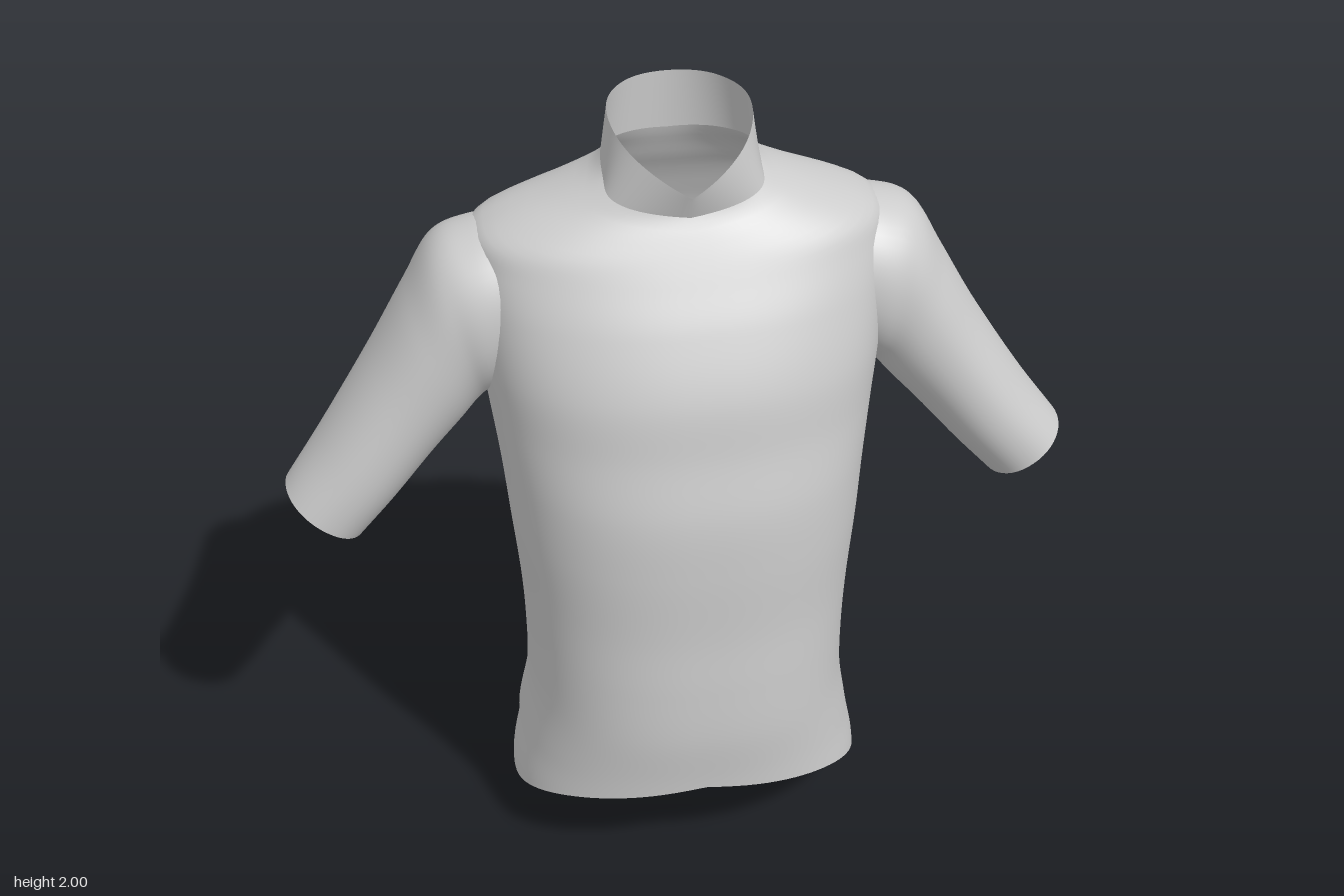
import * as THREE from 'three';

const material = new THREE.MeshStandardMaterial({ color: 0xcccccc, side: THREE.DoubleSide });

// Smooth lookup: rows of [key, value, value...], returns the interpolated values
function lookup(rows, key) {
  const last = rows.length - 1;
  const k = THREE.MathUtils.clamp(key, rows[0][0], rows[last][0]);
  let i = 0;
  while (i < last - 1 && k > rows[i + 1][0]) i++;
  const a = rows[i], b = rows[i + 1], h = b[0] - a[0], t = (k - a[0]) / h;
  const slope = (p, q, c) => (q[c] - p[c]) / (q[0] - p[0]);
  return a.slice(1).map((_, n) => {
    const c = n + 1;
    const m0 = slope(rows[Math.max(i - 1, 0)], b, c) * h;
    const m1 = slope(a, rows[Math.min(i + 2, last)], c) * h;
    const t2 = t * t, t3 = t2 * t;
    return (2 * t3 - 3 * t2 + 1) * a[c] + (t3 - 2 * t2 + t) * m0
      + (3 * t2 - 2 * t3) * b[c] + (t3 - t2) * m1;
  });
}

// Surface from a rule fn(u, v) -> [x, y, z]; closed joins the last column to the first
function surface(name, nu, nv, closed, fn) {
  const positions = [], index = [], cols = closed ? nu : nu + 1;
  for (let j = 0; j <= nv; j++)
    for (let i = 0; i < cols; i++) positions.push(...fn(i / nu, j / nv));
  for (let j = 0; j < nv; j++)
    for (let i = 0; i < nu; i++) {
      const a = j * cols + i, b = j * cols + (i + 1) % cols;
      index.push(a, a + cols, b, b, a + cols, b + cols);
    }
  const geometry = new THREE.BufferGeometry();
  geometry.setAttribute('position', new THREE.Float32BufferAttribute(positions, 3));
  geometry.setIndex(index);
  geometry.computeVertexNormals();
  const mesh = new THREE.Mesh(geometry, material);
  mesh.name = name;
  return mesh;
}

// Torso sections: height, half width, front z, back z, side z
const BODY = [
  [0, .44, .345, -.27, 0], [.15, .45, .35, -.295, 0], [.3, .425, .36, -.285, 0],
  [.45, .403, .375, -.285, 0], [.6, .402, .375, -.28, 0], [.75, .41, .37, -.25, 0],
  [.95, .43, .372, -.295, -.01], [1.1, .445, .365, -.33, -.03], [1.25, .465, .335, -.352, -.05],
  [1.4, .485, .31, -.37, -.07], [1.55, .495, .25, -.362, -.08], [1.65, .495, .195, -.325, -.09],
  [1.71, .48, .16, -.295, -.09], [1.75, .41, .135, -.27, -.085], [1.79, .31, .11, -.25, -.075],
  [1.84, .21, .105, -.225, -.06], [1.88, .175, .11, -.215, -.05],
];
// Edge heights, from back (-1) over the side (0) to the front (1)
const HEM = [[-1, 0], [-.5, .03], [0, .125], [.5, .225], [1, .29]];
const NECK = [[-1, 1.85], [-.5, 1.86], [0, 1.87], [.5, 1.82], [1, 1.785]];
const COLLAR = [[-1, 2], [-.5, 2], [0, 1.985], [.5, 1.925], [1, 1.845]];

const facing = (theta) => Math.asin(THREE.MathUtils.clamp(Math.sin(theta), -1, 1)) / (Math.PI / 2);
const edge = (rows, theta) => lookup(rows, facing(theta))[0];
const squash = (s, e) => Math.sign(s) * Math.abs(s) ** e;

function bodyPoint(theta, y) {
  const [w, front, back, side] = lookup(BODY, y);
  const e = y > 1.7 ? THREE.MathUtils.lerp(.86, 1, Math.min((y - 1.7) / .15, 1)) : .86;
  const c = squash(Math.cos(theta), e), s = squash(Math.sin(theta), e);
  const x = w * c;
  let z = side + (s > 0 ? front - side : side - back) * s;
  // soft upright folds above the pocket
  if (s < 0) z += .007 * s * s * Math.sin(x * 42) * Math.exp(-(((y - .9) / .13) ** 2));
  return [x, y, z];
}

// Sleeve sections: step, outer x, outer y, inner x, inner y, back z, front z
const SLEEVE = [
  [0, .36, 1.73, .36, 1.37, -.24, .09], [1, .49, 1.712, .45, 1.3, -.27, .1],
  [2, .58, 1.67, .485, 1.265, -.275, .09], [3, .65, 1.55, .53, 1.21, -.275, .085],
  [4, .745, 1.38, .605, 1.125, -.27, .08], [5, .87, 1.185, .7, 1.015, -.24, .08],
  [6, .97, 1.05, .79, .92, -.19, .075],
];

function sleeve(name, side) {
  return surface(name, 48, 48, true, (u, v) => {
    const [ox, oy, ix, iy, back, front] = lookup(SLEEVE, v * 6);
    const a = u * Math.PI * 2, c = squash(Math.cos(a), .95), s = -side * squash(Math.sin(a), .95);
    return [
      side * ((ox + ix) / 2 + c * (ox - ix) / 2),
      (oy + iy) / 2 + c * (oy - iy) / 2,
      (front + back) / 2 + s * (front - back) / 2,
    ];
  });
}

export function createModel() {
  const group = new THREE.Group();
  group.name = 'shortSleevedJersey';

  // Body from the slanted hem to the neck seam
  group.add(surface('torso', 96, 110, true, (u, v) => {
    const theta = u * Math.PI * 2;
    return bodyPoint(theta, THREE.MathUtils.lerp(edge(HEM, theta), edge(NECK, theta), v));
  }));

  // Standing collar with a notch at the front
  group.add(surface('collar', 96, 8, true, (u, v) => {
    const theta = u * Math.PI * 2, s = Math.sin(theta);
    const base = bodyPoint(theta, edge(NECK, theta));
    const top = [.167 * Math.cos(theta), edge(COLLAR, theta), -.04 + (s > 0 ? .175 : .172) * s];
    return base.map((b, i) => THREE.MathUtils.lerp(b, top[i], v));
  }));

  group.add(sleeve('leftSleeve', 1), sleeve('rightSleeve', -1));

  // Pocket panel across the lower back, its top edge folded in
  group.add(surface('backPocket', 64, 40, false, (u, v) => {
    const theta = Math.PI + .36 + u * (Math.PI - .72);
    const bottom = edge(HEM, theta) + .09;
    const topEdge = .755 + .006 * Math.sin(u * 19);
    const y = THREE.MathUtils.lerp(bottom, topEdge, Math.min(v / .96, 1));
    const [x, , z] = bodyPoint(theta, y);
    const fade = Math.min(u / .06, (1 - u) / .06, 1) * Math.min(v / .08, 1);
    const crumple = .006 * Math.sin(u * 17 + y * 9) * Math.sin(y * 21 + u * 4);
    const lift = v > .98 ? -.004 : .002 + fade * (.026 + crumple);
    const length = Math.hypot(x * .6, z);
    return [x + lift * x * .6 / length, y, z + lift * z / length];
  }));

  return group;
}
